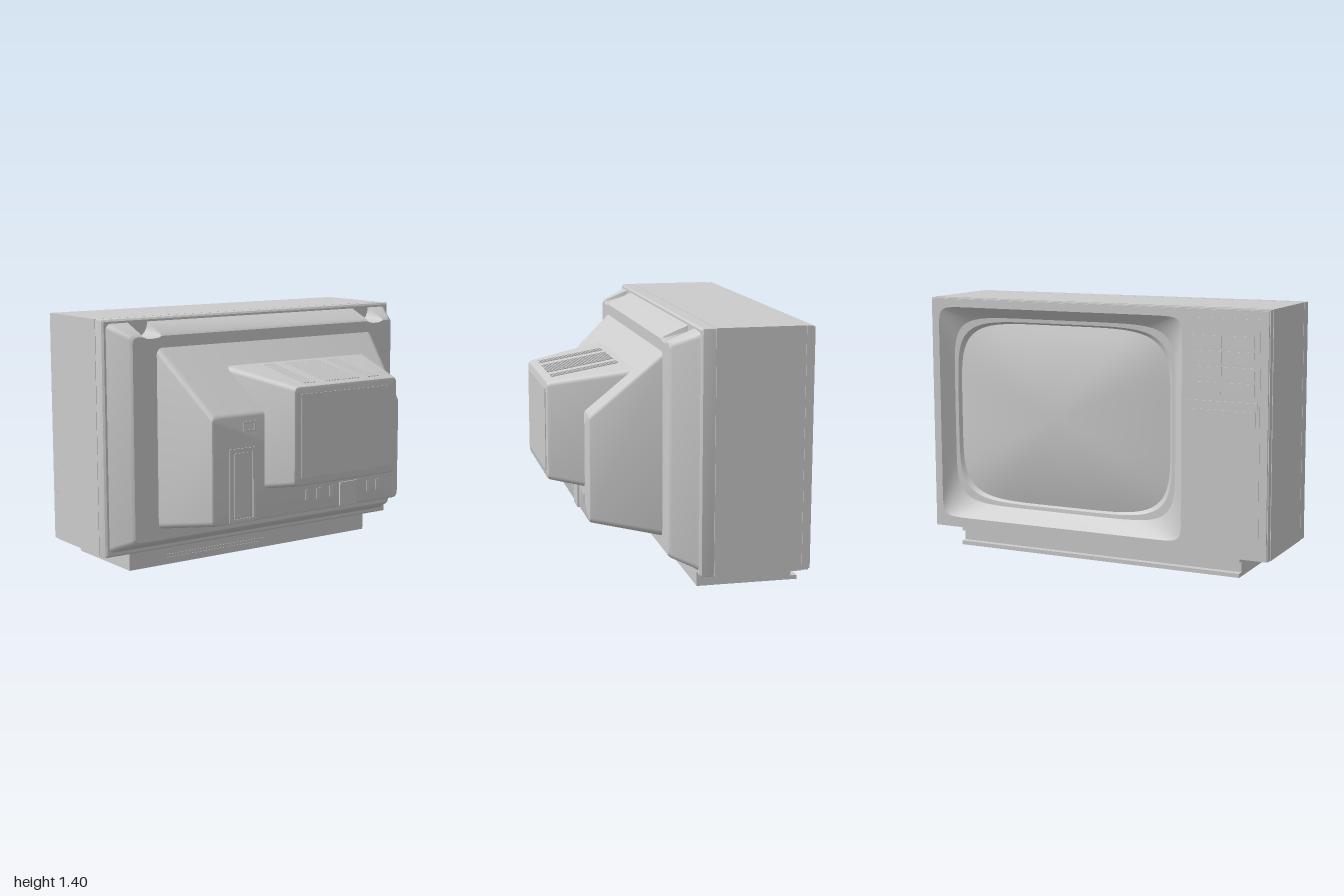
import * as THREE from 'three';
import { toCreasedNormals } from 'three/addons/utils/BufferGeometryUtils.js';

const grey = new THREE.MeshStandardMaterial({ color: 0xcccccc });

export function createModel() {
  const root = new THREE.Group();
  const add = (name, geo) => {
    const m = new THREE.Mesh(geo, grey);
    m.name = name;
    root.add(m);
    return m;
  };
  // Box given by its limits on each axis
  const box = (name, x0, x1, y0, y1, z0, z1) => {
    const g = new THREE.BoxGeometry(x1 - x0, y1 - y0, z1 - z0);
    g.translate((x0 + x1) / 2, (y0 + y1) / 2, (z0 + z1) / 2);
    return add(name, g);
  };

  // Rounded rectangle cross-section at x; notch = floor height of the two grip scoops
  const rect = (x, y0, y1, z0, z1, r, notch) => {
    const pts = [], k = 4;
    const corners = [[z1 - r, y1 - r], [z0 + r, y1 - r], [z0 + r, y0 + r], [z1 - r, y0 + r]];
    corners.forEach(([cz, cy], c) => {
      for (let i = 0; i <= k; i++) {
        const a = (c + i / k) * Math.PI / 2;
        pts.push([x, cy + r * Math.sin(a), cz + r * Math.cos(a)]);
      }
      if (c === 0 && notch) {
        for (const s of [0.78, -0.78]) for (let i = 0; i <= 8; i++) {
          const a = i / 8 * Math.PI;
          pts.push([x, y1 - (y1 - notch) * Math.sin(a), s + 0.06 * Math.cos(a)]);
        }
      }
    });
    return pts;
  };

  // Superellipse cross-section for the picture tube opening
  const oval = (x, cy, cz, h, w, n) => {
    const pts = [], f = (v) => Math.sign(v) * Math.pow(Math.abs(v), 2 / n);
    for (let i = 0; i < 96; i++) {
      const a = (i + 0.5) / 96 * Math.PI * 2;
      pts.push([x, cy + h * f(Math.sin(a)), cz + w * f(Math.cos(a))]);
    }
    return pts;
  };

  // Skin a list of cross-sections, with optional fan caps
  const loft = (name, rings, capStart, capEnd, crease = 0.5) => {
    const pos = [], n = rings[0].length;
    const tri = (...p) => p.forEach((v) => pos.push(...v));
    for (let j = 0; j + 1 < rings.length; j++) for (let i = 0; i < n; i++) {
      const a = rings[j], b = rings[j + 1], k = (i + 1) % n;
      tri(a[i], b[i], b[k]);
      tri(a[i], b[k], a[k]);
    }
    const cap = (ring, flip) => {
      const c = [0, 1, 2].map((d) => ring.reduce((s, p) => s + p[d], 0) / n);
      for (let i = 0; i < n; i++) {
        const p = ring[i], q = ring[(i + 1) % n];
        if (flip) tri(c, q, p); else tri(c, p, q);
      }
    };
    if (capStart) cap(rings[0], false);
    if (capEnd) cap(rings[rings.length - 1], true);
    const g = new THREE.BufferGeometry();
    g.setAttribute('position', new THREE.Float32BufferAttribute(pos, 3));
    return add(name, toCreasedNormals(g, crease));
  };

  // Rectangular slab with the screen opening, extruded from xBack to xFront
  const opening = oval(-0.65, 0.755, -0.215, 0.595, 0.735, 22);
  const framed = (name, inset, xBack, xFront) => {
    const y0 = 0.1 + inset, y1 = 1.4 - inset, w = 1 - inset;
    const toV = (l) => l.map(([z, y]) => new THREE.Vector2(z, y));
    const s = new THREE.Shape(toV([[-w, y0], [w, y0], [w, y1], [-w, y1]]));
    s.holes.push(new THREE.Path(toV(opening.map((p) => [p[2], p[1]]))));
    const g = new THREE.ExtrudeGeometry(s, { depth: xBack - xFront, bevelEnabled: false });
    g.rotateY(-Math.PI / 2).translate(xBack, 0, 0);
    add(name, g);
  };

  // Cabinet: main shell, seams, front bezel and rear band
  framed('cabinetShell', 0, -0.128, -0.6);
  framed('frontSeam', 0.006, -0.59, -0.61);
  framed('frontBezel', 0.002, -0.604, -0.64);
  framed('bezelLip', 0.007, -0.64, -0.65);
  box('rearSeam', -0.135, -0.115, 0.106, 1.394, -0.994, 0.994);
  loft('rearBand', [
    rect(-0.124, 0.1, 1.4, -1, 1, 0.004),
    rect(-0.06, 0.1, 1.4, -1, 1, 0.004),
    rect(-0.05, 0.11, 1.39, -0.99, 0.99, 0.004),
  ], true, true);

  // Screen: domed glass, then the sloping mask out to the bezel
  const tube = (s) => oval(-0.575 - 0.07 * (1 - s * s), 0.765, -0.215, 0.5 * s, 0.64 * s, 5);
  loft('screenGlass', [0.02, 0.15, 0.3, 0.45, 0.6, 0.75, 0.88, 1].map(tube), true, false);
  loft('screenMask', [
    tube(1),
    oval(-0.59, 0.765, -0.215, 0.51, 0.655, 5.5),
    oval(-0.592, 0.765, -0.215, 0.53, 0.675, 7),
    opening,
  ], false, false, 0.3);

  // Control panel beside the screen
  box('controlPanel', -0.654, -0.64, 0.17, 1.35, 0.55, 0.95);
  for (let row = 0; row < 4; row++) for (const z of [0.58, 0.76]) {
    const y = 1.2 - row * 0.08;
    box('button', -0.659, -0.65, y, y + 0.062, z, z + 0.16);
  }
  box('controlStrip', -0.66, -0.65, 0.895, 0.925, 0.56, 0.94);
  box('controlDoor', -0.658, -0.65, 0.77, 0.88, 0.57, 0.93);

  // Rear housing in three steps
  loft('rearStep', [
    rect(-0.052, 0.125, 1.38, -0.98, 0.98, 0.03, 1.3),
    rect(-0.03, 0.137, 1.37, -0.965, 0.965, 0.03, 1.3),
    rect(0.08, 0.182, 1.326, -0.912, 0.912, 0.03, 1.3),
    rect(0.092, 0.195, 1.312, -0.898, 0.898, 0.03, 1.3),
  ], false, true);
  loft('rearHousing', [
    rect(0.085, 0.255, 1.255, -0.752, 0.752, 0.035),
    rect(0.45, 0.322, 0.92, -0.65, 0.65, 0.03),
    rect(0.46, 0.327, 0.91, -0.645, 0.645, 0.028),
    rect(0.465, 0.338, 0.898, -0.632, 0.632, 0.022),
  ], false, true);
  loft('tubeCover', [
    rect(0.085, 0.42, 1.16, -0.64, 0.43, 0.03),
    rect(0.64, 0.523, 1.064, -0.463, 0.255, 0.028),
    rect(0.652, 0.53, 1.057, -0.456, 0.248, 0.026),
    rect(0.656, 0.542, 1.045, -0.444, 0.236, 0.02),
  ], false, true);
  box('tubeCoverPlate', 0.65, 0.66, 0.57, 1.02, -0.415, 0.21);

  // Ventilation ribs along the sloping top of the tube cover
  for (const [z0, count] of [[-0.355, 4], [-0.215, 12], [0.09, 4]]) {
    for (let i = 0; i < count; i++) {
      const rib = add('ventRib', new THREE.BoxGeometry(0.37, 0.008, 0.009));
      rib.position.set(0.43, 1.101, z0 + i * 0.02);
      rib.rotation.z = -0.172;
    }
  }

  // Rear access door with frame, small socket and connector block
  const frame = (name, x, y0, y1, z0, z1, t) => {
    box(name, x, x + 0.01, y0, y1, z0, z0 + t);
    box(name, x, x + 0.01, y0, y1, z1 - t, z1);
    box(name, x, x + 0.01, y0, y0 + t, z0, z1);
    box(name, x, x + 0.01, y1 - t, y1, z0, z1);
  };
  frame('doorFrame', 0.46, 0.33, 0.73, 0.37, 0.54, 0.018);
  box('accessDoor', 0.46, 0.469, 0.355, 0.705, 0.41, 0.51);
  frame('socketFrame', 0.46, 0.815, 0.87, 0.37, 0.45, 0.01);
  box('connectorBlock', 0.45, 0.474, 0.33, 0.465, -0.33, -0.21);
  for (const z of [0.02, -0.06, -0.15, -0.42, -0.49]) {
    box('jack', 0.46, 0.469, 0.39, 0.45, z - 0.012, z + 0.012);
  }

  // Plinth with front ledges and rear trim strips
  box('plinth', -0.595, -0.075, 0, 0.102, -0.84, 0.84);
  box('plinthLedge', -0.63, -0.59, 0, 0.022, -0.84, 0.84);
  box('plinthUpperLedge', -0.625, -0.59, 0.08, 0.102, -0.84, 0.84);
  box('plinthTrim', -0.08, -0.072, 0.052, 0.058, -0.09, 0.59);
  box('plinthTrim', -0.08, -0.072, 0.034, 0.04, -0.04, 0.59);

  return root;
}
